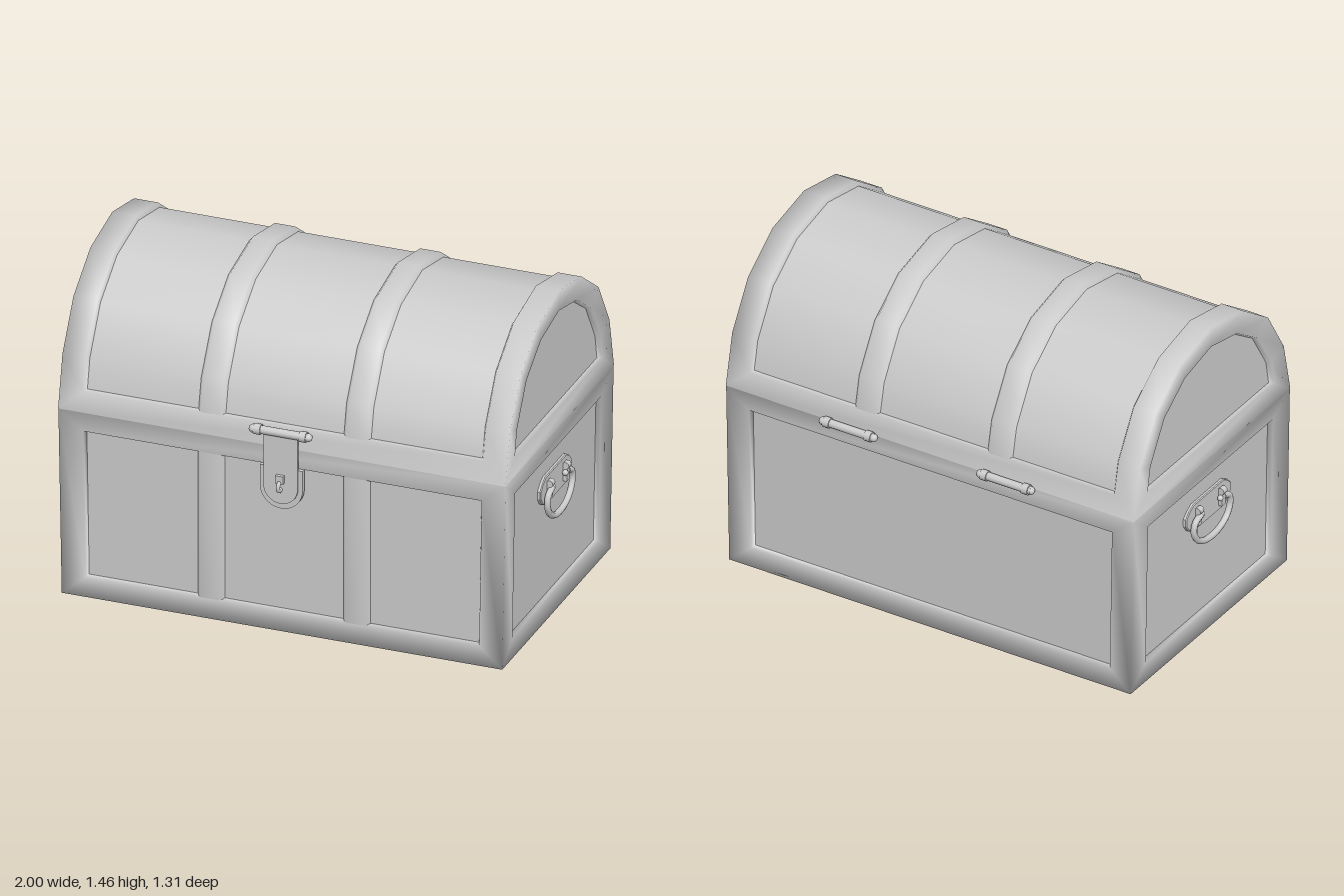
import * as THREE from 'three';
import { mergeVertices } from 'three/addons/utils/BufferGeometryUtils.js';

const mat = new THREE.MeshStandardMaterial({ color: 0xcccccc });
const thin = new THREE.MeshStandardMaterial({ color: 0xcccccc, side: THREE.DoubleSide });
const V = (x, y, z) => new THREE.Vector3(x, y, z);

function add(parent, name, geo, x = 0, y = 0, z = 0, material = mat) {
  const m = new THREE.Mesh(geo, material);
  m.name = name;
  m.position.set(x, y, z);
  parent.add(m);
  return m;
}

// Collects quads and fans; shared corners get averaged normals
class Skin {
  pts = [];
  quad(a, b, c, d) { this.pts.push(a, b, c, a, c, d); }
  // quads between successive closed loops
  rings(...loops) {
    for (let k = 0; k < loops.length - 1; k++) {
      const a = loops[k], b = loops[k + 1], n = a.length;
      for (let i = 0; i < n; i++) this.quad(a[i], a[(i + 1) % n], b[(i + 1) % n], b[i]);
    }
  }
  // quads between successive open rows
  rows(list) {
    for (let k = 0; k < list.length - 1; k++)
      for (let i = 0; i < list[k].length - 1; i++)
        this.quad(list[k][i], list[k][i + 1], list[k + 1][i + 1], list[k + 1][i]);
  }
  fan(loop) {
    const c = loop.reduce((s, p) => s.add(p), V(0, 0, 0)).divideScalar(loop.length);
    loop.forEach((p, i) => this.pts.push(c, p, loop[(i + 1) % loop.length]));
  }
  geometry(smooth = true) {
    let g = new THREE.BufferGeometry().setFromPoints(this.pts);
    if (smooth) g = mergeVertices(g);
    g.computeVertexNormals();
    return g;
  }
}

// Box body: raised mitred frame around a sunken panel on each face
function makeBase() {
  const base = new THREE.Group();
  base.name = 'base';
  const half = V(0.977, 0.42, 0.603), inset = V(0.105, 0.087, 0.12);
  const faces = [
    [V(1, 0, 0), V(0, 1, 0)], [V(-1, 0, 0), V(0, 1, 0)],
    [V(0, 0, -1), V(0, 1, 0)], [V(0, 0, 1), V(0, 1, 0)], [V(1, 0, 0), V(0, 0, 1)]];
  const frame = new Skin(), panels = new Skin();
  for (const [u, v] of faces) {
    const n = u.clone().cross(v);
    const loop = (k, depth) => [[-1, -1], [1, -1], [1, 1], [-1, 1]].map(([s, t]) => {
      const p = u.clone().multiplyScalar(s).addScaledVector(v, t)
        .multiply(half.clone().addScaledVector(inset, -k))
        .addScaledVector(n, Math.abs(n.dot(half)) - depth);
      p.x *= 1 + p.y * 0.018; // sides lean out slightly
      p.y += 0.42;
      return p;
    });
    const foot = loop(1.08, 0.025);
    frame.rings(loop(0, 0), loop(1, 0.004), foot);
    panels.fan(foot);
  }
  add(base, 'baseFrame', frame.geometry());
  add(base, 'basePanels', panels.geometry(false));

  // Upright front straps
  for (const x of [-0.32, 0.32]) {
    const strap = new Skin();
    strap.rows([0.08, 0.76].map(y =>
      [[0.06, 0.577], [0.045, 0.598], [-0.045, 0.598], [-0.06, 0.577]].map(([dx, z]) => V(x + dx, y, z))));
    add(base, 'frontStrap', strap.geometry(), 0, 0, 0, thin);
  }
  return base;
}

// Symmetric arch in (z, y), from the front foot over the top to the back foot
const arch = half => [...half, ...half.slice(0, -1).reverse().map(([z, y]) => [-z, y])];

function makeLid() {
  const lid = new THREE.Group();
  lid.name = 'lid';
  const X = 0.985;
  const halfOuter = [[0.605, 0.84], [0.555, 1.07], [0.433, 1.275], [0.243, 1.41], [0, 1.46]];
  const cut = t => [[0.605 - 0.05 * t, 0.84 + 0.23 * t], ...halfOuter.slice(1)];
  const shrink = ([z, y]) => [z * 0.975, 0.84 + (y - 0.84) * 0.97];
  const outer = arch(halfOuter), edge = arch(cut(0.38)), barrel = arch(cut(0.42).map(shrink));
  const inner = arch([[0.49, 0.922], [0.468, 1.035], [0.36, 1.213], [0.2, 1.322], [0, 1.365]]);
  const sunk = inner.map(([z, y]) => [z * 0.975, 1.1 + (y - 1.1) * 0.975]);
  const at = (path, x) => path.map(([z, y]) => V(x, y, z));
  const wrap = (path, x) => [...at(path, x), ...at(path, -x).reverse()];

  const frame = new Skin(), skin = new Skin(), ends = new Skin();
  frame.rings(wrap(outer, X), wrap(edge, 0.88), wrap(barrel, 0.87));
  skin.rows([at(barrel, -0.87), at(barrel, 0.87)].reverse());
  for (const s of [1, -1]) {
    const side = (path, x) => s > 0 ? at(path, x).reverse() : at(path, -x);
    const foot = side(sunk, 0.96);
    frame.rings(side(outer, X), side(inner, 0.981), foot);
    ends.fan(foot);
  }
  add(lid, 'lidFrame', frame.geometry());
  add(lid, 'lidBarrel', skin.geometry());
  add(lid, 'lidEnds', ends.geometry(false));

  // Curved straps over the barrel
  for (const x of [-0.32, 0.32]) {
    const strap = new Skin();
    strap.rows([at(barrel, x + 0.06), at(edge, x + 0.045), at(edge, x - 0.045), at(barrel, x - 0.06)]);
    add(lid, 'lidStrap', strap.geometry(), 0, 0, 0, thin);
  }
  return lid;
}

// Horizontal pin with a collar near each end
function makePin(name, x, y, z) {
  const pin = new THREE.Group();
  pin.name = name;
  pin.position.set(x, y, z);
  const rod = (part, r, len, px) =>
    add(pin, part, new THREE.CylinderGeometry(r, r, len, 12), px).rotation.z = Math.PI / 2;
  rod('pinRod', 0.018, 0.25, 0);
  for (const s of [-1, 1]) {
    rod('pinCollar', 0.023, 0.03, s * 0.1);
    add(pin, 'pinTip', new THREE.SphereGeometry(0.018, 10, 6), s * 0.122);
  }
  return pin;
}

// Plate with a rounded lower end
function tongue(w, top, bottom, depth) {
  const s = new THREE.Shape();
  s.moveTo(w, top).lineTo(-w, top).lineTo(-w, bottom + w);
  s.absarc(0, bottom + w, w, Math.PI, Math.PI * 2);
  return new THREE.ExtrudeGeometry(s, { depth, bevelEnabled: false, curveSegments: 8 });
}

function makeLatch() {
  const latch = new THREE.Group();
  latch.name = 'latch';
  latch.add(makePin('latchPin', 0, 0.913, 0.618));
  add(latch, 'latchBackPlate', tongue(0.094, 0.75, 0.565, 0.022), 0, 0, 0.59);
  add(latch, 'latchHasp', tongue(0.075, 0.915, 0.59, 0.014), 0, 0, 0.606);
  add(latch, 'latchStaple', new THREE.TorusGeometry(0.02, 0.009, 8, 14), 0, 0.673, 0.628).rotation.y = Math.PI / 2;
  add(latch, 'latchCatch', new THREE.BoxGeometry(0.034, 0.035, 0.02), 0, 0.705, 0.626);
  return latch;
}

// Side handle, built facing +z and turned outward
function makeHandle(side) {
  const h = new THREE.Group();
  h.name = side > 0 ? 'leftHandle' : 'rightHandle';
  h.rotation.y = side * Math.PI / 2;
  const right = [[0.115, 0.53], [0.15, 0.55], [0.17, 0.58], [0.17, 0.61], [0.145, 0.635], [0.115, 0.652]];
  const outline = [...right, ...right.map(([x, y]) => [-x, y]).reverse()].map(p => new THREE.Vector2(...p));
  add(h, 'handlePlate', new THREE.ExtrudeGeometry(new THREE.Shape(outline),
    { depth: 0.012, bevelEnabled: true, bevelSize: 0.004, bevelThickness: 0.004, bevelSegments: 1 }), 0, 0, 0.954);
  for (const s of [-1, 1]) {
    add(h, 'handleLug', new THREE.BoxGeometry(0.028, 0.08, 0.018), s * 0.09, 0.59, 0.977);
    add(h, 'handleLugTop', new THREE.CylinderGeometry(0.016, 0.016, 0.028, 10), s * 0.09, 0.62, 0.98).rotation.z = Math.PI / 2;
    add(h, 'handleStud', new THREE.SphereGeometry(0.013, 10, 8), s * 0.07, 0.593, 0.982);
  }
  const bow = [[0.085, 0.598], [0.13, 0.58], [0.14, 0.54], [0.115, 0.492], [0.065, 0.462], [0, 0.452]];
  const path = [...bow, ...bow.slice(0, -1).reverse().map(([x, y]) => [-x, y])].map(([x, y]) => V(x, y, 0.986));
  add(h, 'handleBow', new THREE.TubeGeometry(new THREE.CatmullRomCurve3(path), 36, 0.014, 8));
  return h;
}

export function createModel() {
  const chest = new THREE.Group();
  chest.name = 'chest';
  chest.add(makeBase(), makeLid(), makeLatch(), makeHandle(1), makeHandle(-1));
  for (const x of [-0.38, 0.38]) chest.add(makePin('hinge', x, 0.843, -0.626));
  return chest;
}
